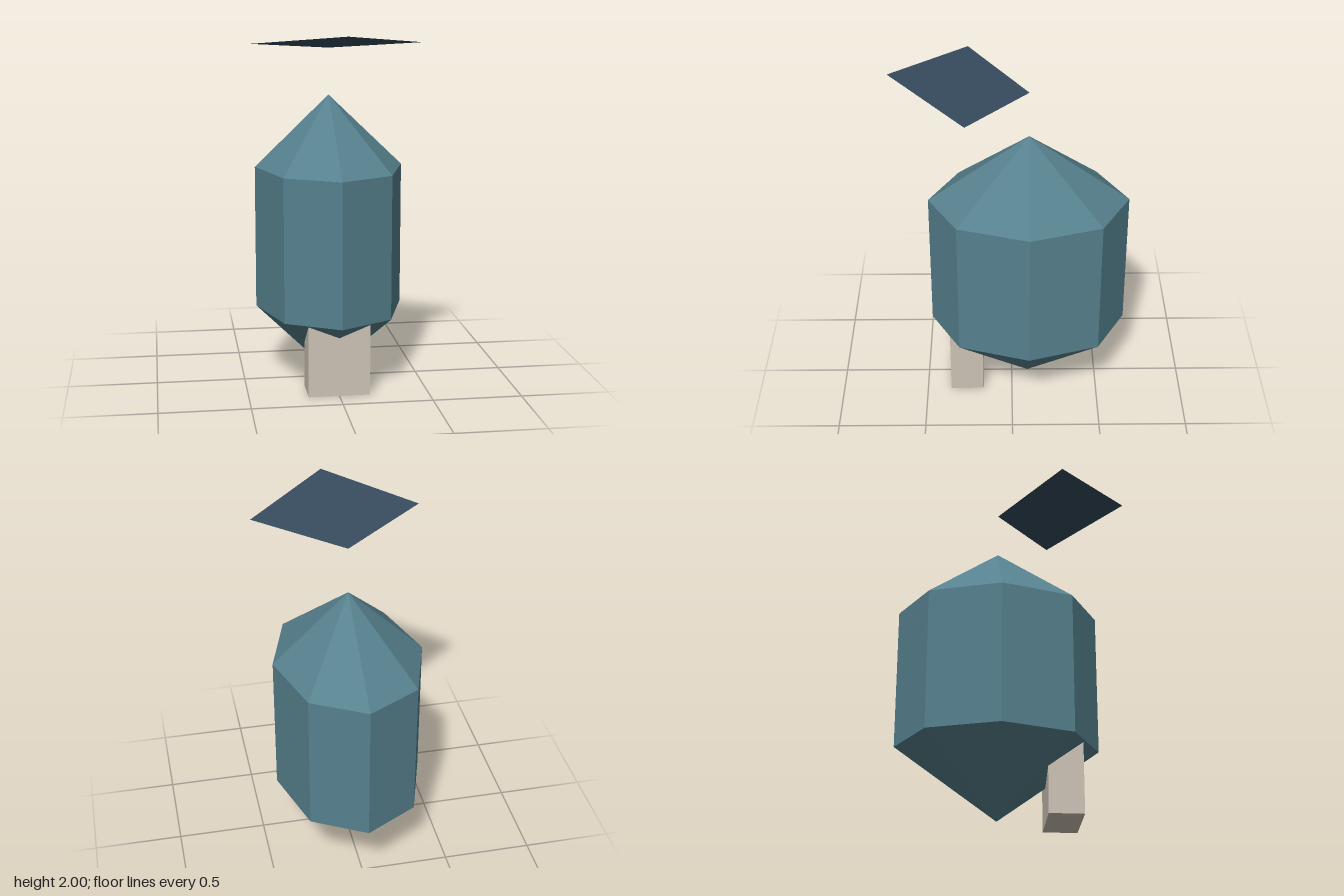
import * as THREE from 'three';

export function createModel() {
  const model = new THREE.Group();
  const material = (name, color) => {
    const m = new THREE.MeshStandardMaterial({ color });
    m.name = name;
    return m;
  };
  const teal = material('slate teal', 0x56818e);
  const beige = material('pale stone', 0xcdc3b6);
  const navy = material('dark blue', 0x374c5f);
  teal.flatShading = true;
  navy.side = THREE.DoubleSide;

  const add = (name, geometry, mat) => {
    const mesh = new THREE.Mesh(geometry, mat);
    mesh.name = name;
    model.add(mesh);
    return mesh;
  };

  // Eight-sided body, pointed at both ends and deeper than it is wide
  const profile = [[0, 0], [1, 0.41], [1, 1.222], [0, 1.627]]
    .map(([r, y]) => new THREE.Vector2(r, y));
  const body = add('body', new THREE.LatheGeometry(profile, 8), teal);
  body.scale.set(0.421, 1, 0.562);
  body.position.z = -0.095;

  // Block set into the lower front of the body
  const block = add('frontBlock', new THREE.BoxGeometry(0.344, 0.41, 0.192), beige);
  block.position.set(0, 0.205, 0.265);

  // Thin kite-shaped plate floating above, rising towards the front
  const backZ = -0.095, frontZ = 0.655, backY = 1.89, rise = 0.11 / (frontZ - backZ);
  const corners = [[0, backZ], [-0.466, 0.24], [0, frontZ], [0.466, 0.24]];
  const kite = new THREE.BufferGeometry();
  kite.setAttribute('position', new THREE.Float32BufferAttribute(
    corners.flatMap(([x, z]) => [x, backY + (z - backZ) * rise, z]), 3));
  kite.setIndex([0, 1, 2, 0, 2, 3]);
  kite.computeVertexNormals();
  add('topPlate', kite, navy);

  return model;
}
